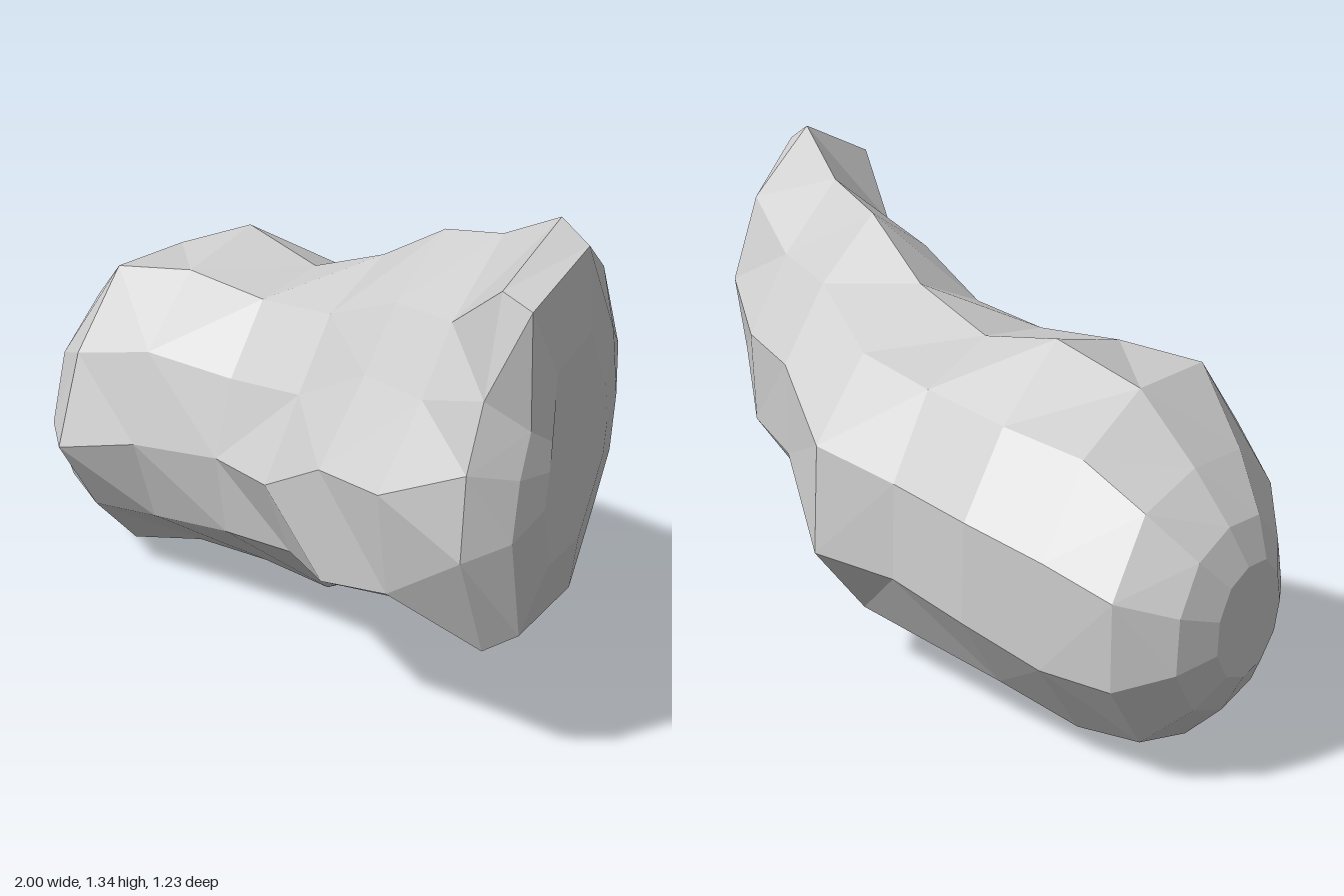
import * as THREE from 'three';

// Cross-sections along x: x, centre z, centre y, then eleven radii from the front (+z) round over the top
const SECTIONS = [
  [-0.95, -0.26, 0.43, 0.23, 0.24, 0.25, 0.24, 0.25, 0.25, 0.26, 0.26, 0.25, 0.24, 0.23],
  [-0.82, -0.20, 0.42, 0.38, 0.38, 0.38, 0.36, 0.40, 0.41, 0.41, 0.40, 0.37, 0.36, 0.36],
  [-0.62, -0.13, 0.45, 0.50, 0.48, 0.52, 0.48, 0.47, 0.49, 0.50, 0.48, 0.45, 0.44, 0.42],
  [-0.38, -0.15, 0.50, 0.47, 0.47, 0.49, 0.52, 0.45, 0.47, 0.48, 0.47, 0.43, 0.44, 0.46],
  [-0.10, -0.10, 0.52, 0.40, 0.39, 0.44, 0.44, 0.46, 0.46, 0.47, 0.48, 0.42, 0.43, 0.43],
  [0.16, -0.05, 0.55, 0.47, 0.38, 0.43, 0.50, 0.47, 0.52, 0.54, 0.50, 0.48, 0.45, 0.43],
  [0.42, 0.05, 0.70, 0.49, 0.35, 0.38, 0.49, 0.43, 0.46, 0.46, 0.44, 0.43, 0.44, 0.57],
  [0.65, 0.15, 0.72, 0.47, 0.34, 0.38, 0.52, 0.44, 0.46, 0.45, 0.42, 0.42, 0.45, 0.51],
  [0.88, 0.28, 0.82, 0.32, 0.30, 0.45, 0.53, 0.46, 0.42, 0.38, 0.34, 0.42, 0.54, 0.40],
  [0.97, 0.30, 0.80, 0.21, 0.20, 0.44, 0.50, 0.33, 0.26, 0.24, 0.25, 0.38, 0.45, 0.28],
];
const SIDES = 11;

// Ring of points for one section, optionally shrunk and moved to another x
function ring([x, cz, cy, ...radii], atX = x, scale = 1) {
  return radii.map((r, i) => {
    const a = (i / SIDES) * Math.PI * 2;
    return new THREE.Vector3(atX, cy + Math.sin(a) * r * scale, cz + Math.cos(a) * r * scale);
  });
}

function rockGeometry() {
  const rings = [
    ring(SECTIONS[0], -1, 0.6),
    ...SECTIONS.map((s) => ring(s)),
    ring(SECTIONS.at(-1), 1, 0.6),
  ];
  const points = [];
  // Skin between neighbouring rings, split along the shorter diagonal
  for (let s = 0; s < rings.length - 1; s++) {
    for (let i = 0; i < SIDES; i++) {
      const j = (i + 1) % SIDES;
      const a = rings[s][i], b = rings[s][j], c = rings[s + 1][i], d = rings[s + 1][j];
      if (a.distanceTo(d) < b.distanceTo(c)) points.push(a, c, d, a, d, b);
      else points.push(a, c, b, b, c, d);
    }
  }
  // Blunt ends
  const first = rings[0], last = rings.at(-1);
  for (let i = 1; i < SIDES - 1; i++) {
    points.push(first[0], first[i], first[i + 1]);
    points.push(last[0], last[i + 1], last[i]);
  }
  const geometry = new THREE.BufferGeometry().setFromPoints(points);
  geometry.computeVertexNormals();
  return geometry;
}

export function createModel() {
  const group = new THREE.Group();
  group.name = 'boulder';
  const stone = new THREE.MeshStandardMaterial({ color: 0xcccccc, flatShading: true });
  stone.name = 'grey stone';
  const rock = new THREE.Mesh(rockGeometry(), stone);
  rock.name = 'rock';
  group.add(rock);
  return group;
}
